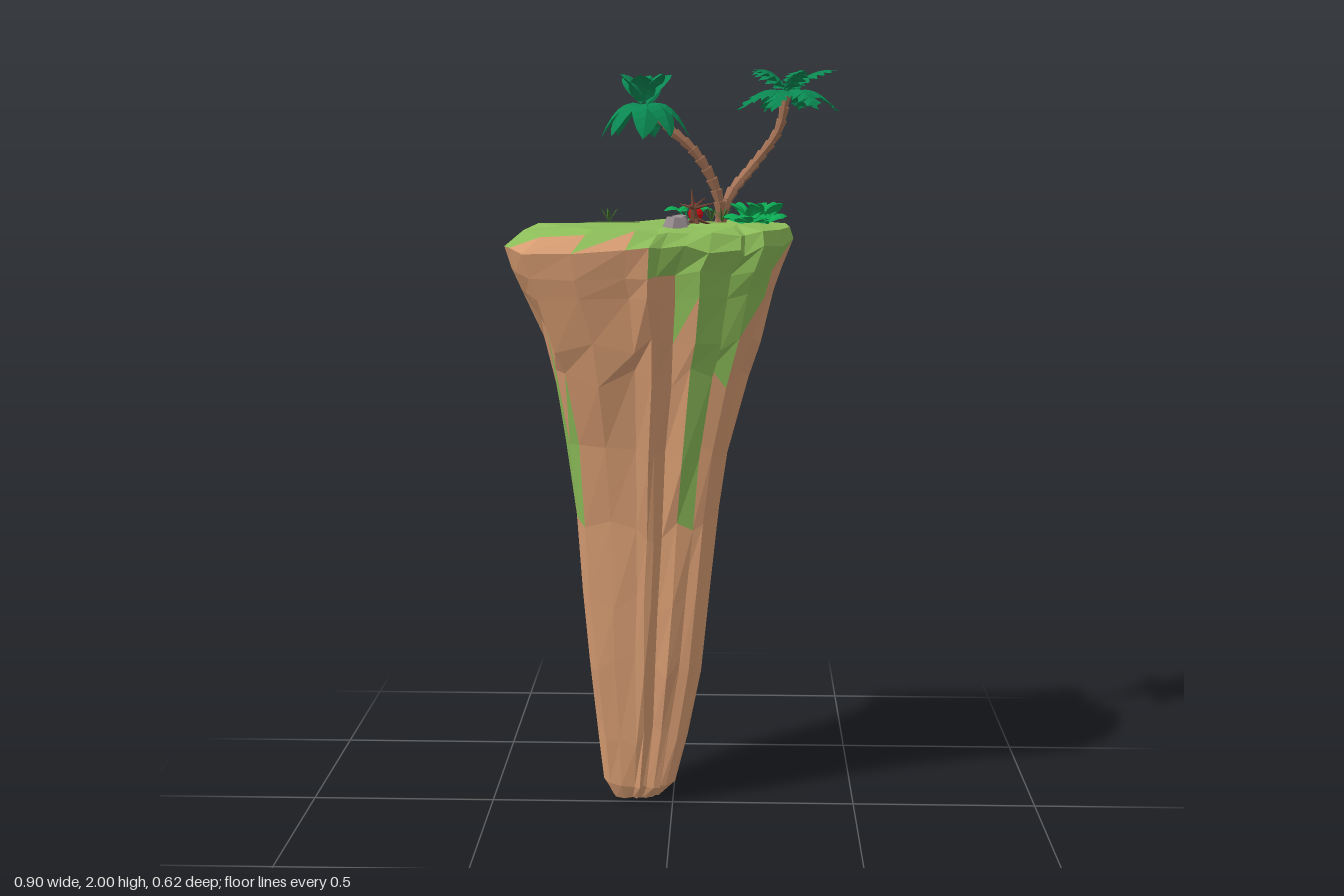
import * as THREE from 'three';

const mat = (color, side = THREE.FrontSide) => new THREE.MeshStandardMaterial({ color, flatShading: true, side });
const V = (x, y, z) => new THREE.Vector3(x, y, z);

function seeded(seed) {
  return () => {
    seed = (seed * 16807) % 2147483647;
    return seed / 2147483647;
  };
}

function add(parent, name, geometry, material, pos = [0, 0, 0], rot = [0, 0, 0], scale = [1, 1, 1]) {
  const m = new THREE.Mesh(geometry, material);
  m.name = name;
  m.position.set(...pos);
  m.rotation.set(...rot);
  m.scale.set(...scale);
  parent.add(m);
  return m;
}

// Plateau rim as [x, z, sag], clockwise seen from above
const RIM = [[-.455, -.05, .01], [-.45, -.12, .02], [-.38, -.28, .05], [-.18, -.315, .045], [-.08, -.30, .035],
  [.02, -.308, .035], [.06, -.285, .03], [.10, -.265, .015], [.2, -.23, 0], [.26, -.18, 0], [.31, -.08, 0], [.32, 0, 0],
  [.29, .11, 0], [.24, .2, 0], [.19, .215, .01], [.18, .27, .01], [.10, .295, 0], [.04, .29, 0], [-.02, .295, 0],
  [-.05, .31, 0], [-.11, .295, 0], [-.25, .26, .01], [-.38, .215, .02], [-.43, .05, .01]];
// How far down the grass hangs on each column of the cliff
const GRASS = [1.5, 1.49, 1.48, 1.47, 1.42, 1.2, 1.3, 1.45, 1.53, 1.54, 1.54, 1.52,
  1.38, 1.22, 1.05, 0.85, 1.35, 1.5, 1.5, 1.54, 1.57, 1.57, 1.56, 1.52];
// Grass strips lower on the cliff: column -> [from, to]
const STRIPS = { 22: [0.75, 1.1], 23: [0.9, 1.28] };
// Cross-sections: height, min x, max x, min z, max z
const LEVELS = [[.012, -.17, -.035, -.085, .005], [.05, -.195, .005, -.108, .027], [.2, -.21, .04, -.125, .05],
  [.4, -.235, .075, -.165, .075], [.6, -.255, .1, -.21, .095], [.8, -.27, .125, -.228, .115],
  [1, -.29, .15, -.238, .16], [1.2, -.325, .2, -.252, .215], [1.31, -.355, .235, -.265, .245],
  [1.42, -.405, .265, -.3, .28], [1.485, -.432, .285, -.29, .297], [1.55, -.452, .318, -.312, .31],
  [1.592, -.4, .308, -.285, .285], [1.6, -.33, .23, -.22, .22], [1.598, -.2, .12, -.12, .12]];
const GROOVES = { 6: 0.92, 17: 0.86, 20: 0.96, 14: 0.94 };
const SAG = { 10: 0.5, 11: 1, 12: 0.9, 13: 0.4 };

function buildCliff(group) {
  const rnd = seeded(71);
  const rings = LEVELS.map(([y, x0, x1, z0, z1], i) => RIM.map(([px, pz, sag], j) => {
    const u = (px + 0.455) / 0.775, w = (pz + 0.315) / 0.625;
    const side = i > 0 && i < 11;
    const k = side ? (GROOVES[j] ?? 1) : 1;
    const cx = (x0 + x1) / 2, cz = (z0 + z1) / 2;
    const wobble = side ? 0.008 : i > 12 ? 0.06 : 0;
    const jx = (rnd() - 0.5) * wobble, jz = (rnd() - 0.5) * wobble;
    const jy = (rnd() - 0.5) * (i < 2 ? 0.01 : i < 9 ? 0.08 : i < 12 ? 0.025 : 0.012) - sag * (SAG[i] ?? 0);
    return V(cx + (x0 + (x1 - x0) * u - cx) * k + jx, y + jy, cz + (z0 + (z1 - z0) * w - cz) * k + jz);
  }));
  const n = RIM.length, rock = [], grass = [];
  const tri = (j, a, b, c) => {
    const y = (a.y + b.y + c.y) / 3, strip = STRIPS[j];
    const green = y > GRASS[j] || (strip && y > strip[0] && y < strip[1]);
    (green ? grass : rock).push(a, b, c);
  };
  const bottom = V(-0.1, 0, -0.04), top = V(-0.04, 1.602, 0);
  for (let j = 0; j < n; j++) {
    const k = (j + 1) % n;
    tri(j, bottom, rings[0][j], rings[0][k]);
    for (let i = 0; i + 1 < rings.length; i++) {
      const a = rings[i], b = rings[i + 1];
      tri(j, a[k], a[j], b[j]);
      tri(j, a[k], b[j], b[k]);
    }
    const last = rings[rings.length - 1];
    tri(j, last[k], last[j], top);
  }
  for (const [name, pts, color] of [['rockCliff', rock, 0xd79c72], ['grassCover', grass, 0x8cbd59]]) {
    const g = new THREE.BufferGeometry().setFromPoints(pts);
    g.computeVertexNormals();
    add(group, name, g, mat(color));
  }
}

// Folded leaf growing along +x; teeth > 0 makes a cut, feathery edge
function leafGeometry(len, width, rise, droop, teeth = 0) {
  const n = teeth ? teeth * 2 : 7, pts = [], idx = [];
  for (let i = 0; i <= n; i++) {
    const t = i / n;
    const x = len * t * (1 - 0.12 * t), y = rise * t - droop * t * t;
    let w = width / 2 * Math.pow(Math.sin(Math.PI * Math.min(1, 0.08 + t * 0.92)), 0.7);
    if (teeth && i % 2) w *= 0.55;
    const sweep = teeth && i % 2 === 0 ? len * 0.08 : 0;
    pts.push(V(x + sweep, y - w * 0.45, -w), V(x, y, 0), V(x + sweep, y - w * 0.45, w));
    if (i) {
      const b = i * 3, a = b - 3;
      for (const s of [0, 1]) idx.push(a + s, a + s + 1, b + s, a + s + 1, b + s + 1, b + s);
    }
  }
  const g = new THREE.BufferGeometry().setFromPoints(pts);
  g.setIndex(idx);
  g.computeVertexNormals();
  return g;
}

// Ring of leaves around a point, each turned and tilted a little differently
function leafRing(parent, name, geometry, material, pos, count, turn = 0, tilt = 0) {
  const ring = new THREE.Group();
  ring.name = name;
  ring.position.set(...pos);
  for (let i = 0; i < count; i++) {
    const a = turn + i / count * Math.PI * 2 + 0.12 * Math.sin(i * 2.3);
    const m = add(ring, 'leaf', geometry, material, [0, 0, 0], [0.25 * Math.sin(i * 1.7), a, tilt + 0.12 * Math.sin(i * 3.1)]);
    m.rotation.order = 'YZX';
  }
  parent.add(ring);
}

// Rod between two points
function rod(parent, name, a, b, r0, r1, material, sides = 6) {
  const d = b.clone().sub(a);
  const m = add(parent, name, new THREE.CylinderGeometry(r1, r0, d.length(), sides), material);
  m.position.copy(a).addScaledVector(d, 0.5);
  m.quaternion.setFromUnitVectors(V(0, 1, 0), d.normalize());
}

// Curved trunk of stacked segments, each flaring at its top
function trunk(parent, name, points, material) {
  const curve = new THREE.CatmullRomCurve3(points.map(p => V(...p)));
  const n = 12, g = new THREE.Group();
  g.name = name;
  for (let i = 0; i < n; i++) {
    const r = 0.015 - 0.003 * i / n;
    rod(g, 'trunkSegment', curve.getPointAt(i / n), curve.getPointAt((i + 1) / n), r * 0.8, r * 1.15, material, 7);
  }
  parent.add(g);
}

export function createModel() {
  const model = new THREE.Group();
  model.name = 'palmIsland';
  buildCliff(model);

  const bark = mat(0xa87558), wood = mat(0x6b4433), stone = mat(0x968c8e);
  const palm = mat(0x0a8852, THREE.DoubleSide), fern = mat(0x0ba852, THREE.DoubleSide);
  const blade = mat(0x3f6a2c, THREE.DoubleSide);

  // Palms
  trunk(model, 'rightPalmTrunk', [[.13, 1.59, -.075], [.115, 1.68, -.07], [.06, 1.78, -.055], [-.01, 1.845, -.05], [-.065, 1.9, -.05]], bark);
  trunk(model, 'leftPalmTrunk', [[.12, 1.59, -.08], [.15, 1.67, -.1], [.215, 1.75, -.155], [.28, 1.84, -.165], [.3, 1.935, -.155]], bark);
  const broad = leafGeometry(.135, .075, .09, .17);
  const broadTop = leafGeometry(.11, .07, .11, .075);
  leafRing(model, 'rightPalmCrown', broad, palm, [-.075, 1.9, -.06], 8);
  leafRing(model, 'rightPalmUpperCrown', broadTop, palm, [-.075, 1.915, -.06], 6, 0.4, 0.4);
  const feather = leafGeometry(.145, .08, .075, .12, 6);
  const featherTop = leafGeometry(.14, .07, .12, .075, 6);
  leafRing(model, 'leftPalmCrown', feather, palm, [.305, 1.935, -.155], 6, 0.1);
  leafRing(model, 'leftPalmUpperCrown', featherTop, palm, [.305, 1.945, -.155], 5, 0, 0.05);

  // Fern bush and leafy sprout
  const fernLeaf = leafGeometry(.08, .05, .075, .06);
  for (const [x, z, turn, count] of [[.2, -.01, 0, 7], [.24, -.025, .5, 5]]) {
    leafRing(model, 'fernBush', fernLeaf, fern, [x, 1.6, z], count, turn);
    leafRing(model, 'fernBushTop', fernLeaf, fern, [x, 1.605, z], 4, turn + .5, 0.5);
  }
  const sprout = leafGeometry(.045, .032, .025, .03);
  for (let i = 0; i < 7; i++) {
    const a = i / 7 * Math.PI * 2;
    const tip = V(.035 + .03 * Math.cos(a), 1.63, -.155 - .03 * Math.sin(a));
    rod(model, 'sproutStem', V(.035, 1.595, -.155), tip, .002, .002, fern, 4);
    add(model, 'sproutLeaf', sprout, fern, tip.toArray(), [0, a, 0]);
  }

  // Dead stump with bare twigs
  const base = V(.06, 1.59, .03), fork = V(.055, 1.64, .03);
  rod(model, 'stump', base, fork, .014, .008, wood);
  for (const [x, y, z] of [[.05, 1.69, .025], [.11, 1.655, .06], [.02, 1.65, .015], [.085, 1.665, .0], [.045, 1.645, .07]])
    rod(model, 'stumpTwig', fork, V(x, y, z), .006, .0015, wood, 5);
  for (const [x, z] of [[.1, .02], [.03, .05], [.07, .07]])
    rod(model, 'stumpRoot', V(.06, 1.612, .03), V(x, 1.597, z), .007, .002, wood, 5);

  // Small red and blue bird behind the stump
  const red = mat(0xd40d12);
  add(model, 'birdBody', new THREE.SphereGeometry(.02, 8, 6), red, [.06, 1.622, -.02], [0, 0, 0], [1, 1, 1.1]);
  add(model, 'birdHead', new THREE.SphereGeometry(.011, 8, 6), red, [.055, 1.642, -.012]);
  add(model, 'birdTail', new THREE.ConeGeometry(.01, .04, 5), mat(0x1f4fa8), [.075, 1.615, -.04], [-1.9, 0, -.4]);

  // Blocky stones
  const block = new THREE.CylinderGeometry(.7, 1, 1, 5);
  add(model, 'smallStone', block, stone, [.02, 1.608, .088], [.15, .4, .1], [.028, .03, .028]);
  add(model, 'largeStone', block, stone, [.015, 1.605, .145], [.1, 1, -.15], [.038, .035, .038]);

  // Grass tufts
  const grassBlade = leafGeometry(.045, .006, .03, .01);
  for (const [x, z] of [[-.17, -.04], [.13, -.05], [.1, -.11]])
    leafRing(model, 'grassTuft', grassBlade, blade, [x, 1.6, z], 6, x * 9, 0.5);
  return model;
}
